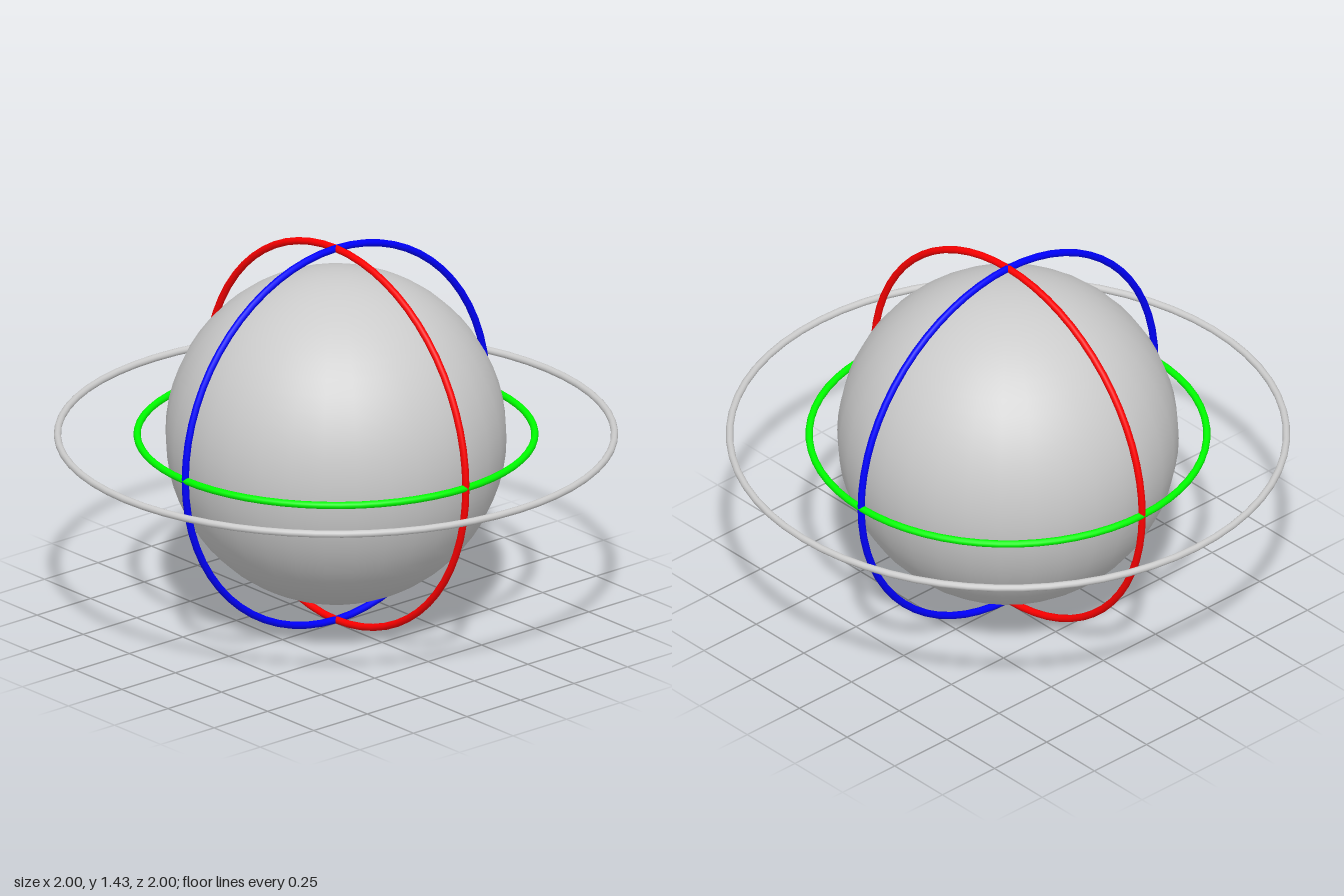
import * as THREE from 'three';

const CENTER_Y = 0.718;
const TUBE = 0.013;

// Full ring around the centre, lying in the XY plane before rotation
function makeRing(name, radius, color, rx, ry) {
  const ring = new THREE.Mesh(
    new THREE.TorusGeometry(radius, TUBE, 12, 64),
    new THREE.MeshStandardMaterial({ color })
  );
  ring.name = name;
  ring.rotation.set(rx, ry, 0);
  return ring;
}

export function createModel() {
  const model = new THREE.Group();
  model.name = 'rotationGizmo';
  model.position.y = CENTER_Y;

  // Central ball
  const ball = new THREE.Mesh(
    new THREE.SphereGeometry(0.605, 32, 32),
    new THREE.MeshStandardMaterial({ color: 0xcccccc })
  );
  ball.name = 'centerSphere';
  model.add(ball);

  // One coloured ring per axis, plus the wide outer ring
  const quarter = Math.PI / 2;
  model.add(
    makeRing('xAxisRing', 0.704, 0xff0000, 0, quarter),
    makeRing('yAxisRing', 0.704, 0x00ff00, quarter, 0),
    makeRing('zAxisRing', 0.704, 0x0000ff, 0, 0),
    makeRing('outerRing', 0.986, 0xcccccc, quarter, 0)
  );

  const root = new THREE.Group();
  root.add(model);
  return root;
}
